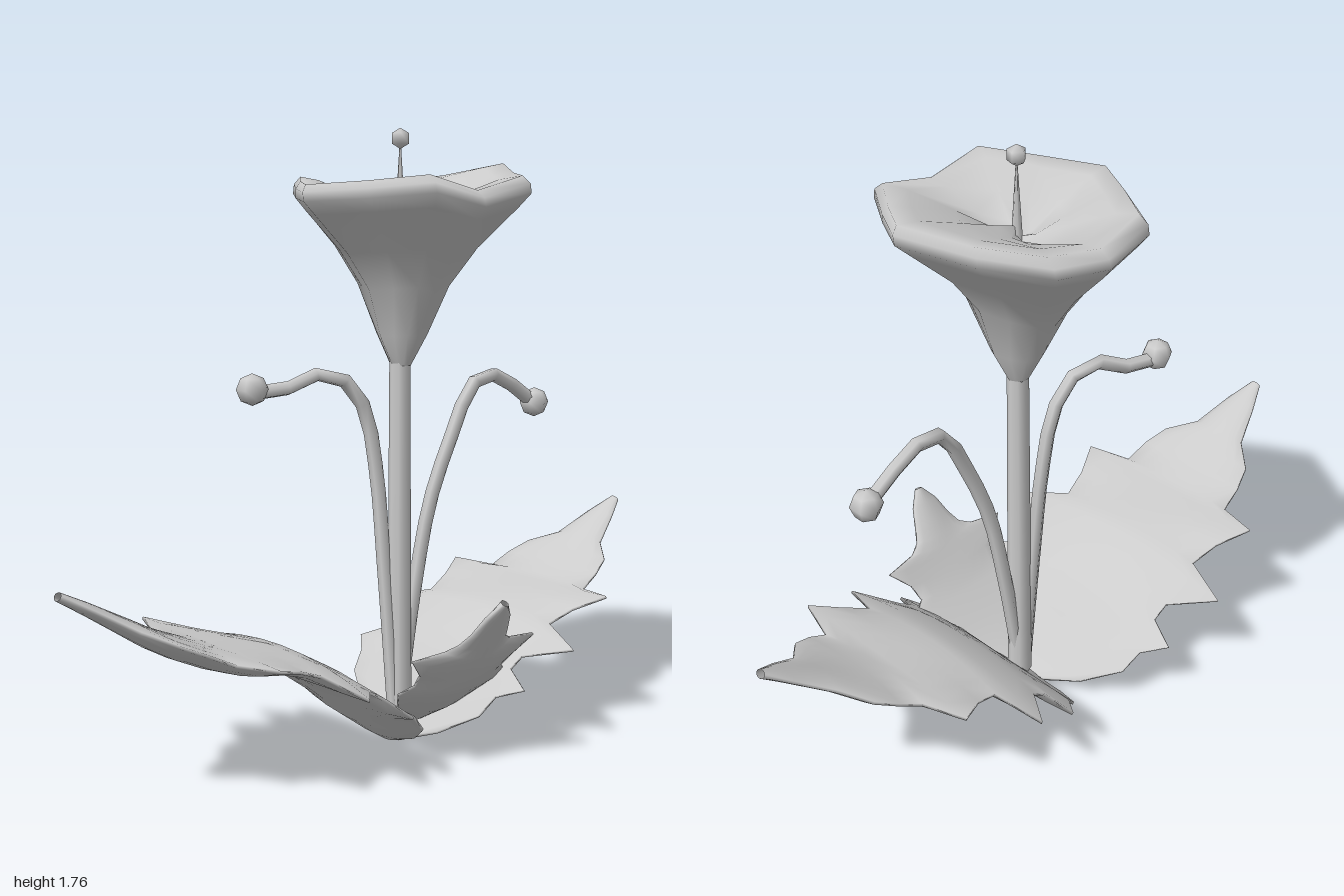
import * as THREE from 'three';

const material = new THREE.MeshStandardMaterial({ color: 0xcccccc, side: THREE.DoubleSide });
const V = (x, y, z) => new THREE.Vector3(x, y, z);

function part(name, geometry) {
  const mesh = new THREE.Mesh(geometry, material);
  mesh.name = name;
  return mesh;
}

// Skin a surface over closed rows of points
function skin(rows) {
  const n = rows[0].length, index = [];
  for (let i = 0; i < rows.length - 1; i++) {
    for (let j = 0; j < n; j++) {
      const k = (j + 1) % n;
      const a = i * n + j, b = i * n + k, c = (i + 1) * n + j, d = (i + 1) * n + k;
      index.push(a, b, c, b, d, c);
    }
  }
  const geometry = new THREE.BufferGeometry().setFromPoints(rows.flat());
  geometry.setIndex(index);
  geometry.computeVertexNormals();
  return geometry;
}

// Fleshy toothed leaf: spine is [out, up],
// outline is [position along spine, half width, rise of the edge]
function leaf(name, spine, outline, plump) {
  const curve = new THREE.CatmullRomCurve3(spine.map(([o, u]) => V(0, u, o)));
  const across = [-1, -0.75, -0.5, -0.25, 0, 0.25, 0.5, 0.75, 1];
  const rows = outline.map(([t, w, rise]) => {
    const p = curve.getPointAt(t), d = curve.getTangentAt(t);
    const half = 0.008 + plump * Math.sin(Math.PI * t);
    const side = (sign) => across.map((s) => {
      const thick = sign * (0.004 + half * (1 - s * s));
      return V(s * w, p.y + rise * s * s + d.z * thick, p.z - d.y * thick);
    });
    return [...side(1), ...side(-1).reverse()];
  });
  return part(name, skin(rows));
}

// Trumpet bloom: the six-cornered rim scaled down towards the stem and back into the throat
function bloom(cx, cz) {
  const rim = [ // x, z, y
    [-0.03, 0.24, 1.605], [0.14, 0.15, 1.615], [0.295, 0.05, 1.63], [0.3, -0.12, 1.59],
    [0.29, -0.3, 1.63], [0.14, -0.4, 1.64], [-0.02, -0.5, 1.67], [-0.2, -0.4, 1.635],
    [-0.36, -0.3, 1.625], [-0.37, -0.12, 1.59], [-0.36, 0.03, 1.63], [-0.2, 0.14, 1.615],
  ];
  const profile = [ // scale in x, scale in z, height share
    [0.09, 0.08, 0], [0.22, 0.21, 0.17], [0.42, 0.33, 0.43], [0.63, 0.55, 0.63],
    [0.92, 0.88, 0.84], [1, 0.99, 0.91], [0.98, 1, 0.96], [0.9, 0.97, 1],
    [0.72, 0.8, 0.98], [0.42, 0.45, 0.89], [0.15, 0.15, 0.81], [0.01, 0.01, 0.78],
  ];
  const rows = profile.map(([fx, fz, h]) =>
    rim.map(([x, z, y]) => V(cx + (x - cx) * fx, 1.1 + (y - 1.1) * h, cz + (z - cz) * fz)));
  return part('bloom', skin(rows));
}

// Curved stalk with a round bud at its end
function budStalk(name, points, budAt) {
  const group = new THREE.Group();
  group.name = name;
  const curve = new THREE.CatmullRomCurve3(points.map((p) => V(...p)));
  const bud = part('bud', new THREE.SphereGeometry(0.045, 6, 4));
  bud.position.set(...budAt);
  group.add(part('stalk', new THREE.TubeGeometry(curve, 14, 0.021, 6)), bud);
  return group;
}

export function createModel() {
  const model = new THREE.Group();
  const cx = -0.03, cz = -0.1;

  // Main stem, bloom and pistil
  const stem = part('stem', new THREE.CylinderGeometry(0.03, 0.036, 1.04, 8));
  stem.position.set(cx, 0.6, cz);
  const pistil = part('pistil', new THREE.CylinderGeometry(0.002, 0.016, 0.22, 6));
  pistil.position.set(cx, 1.61, cz);
  const pistilTip = part('pistilTip', new THREE.SphereGeometry(0.029, 5, 3));
  pistilTip.position.set(cx, 1.733, cz);
  model.add(stem, bloom(cx, cz), pistil, pistilTip);

  // Drooping buds
  model.add(
    budStalk('frontBud', [
      [-0.03, 0.09, -0.08], [-0.05, 0.5, -0.06], [-0.07, 0.8, -0.045], [-0.08, 0.98, -0.01],
      [-0.09, 1.06, 0.05], [-0.11, 1.085, 0.12], [-0.14, 1.05, 0.2], [-0.16, 1.04, 0.3],
    ], [-0.16, 1.05, 0.32]),
    budStalk('backBud', [
      [-0.03, 0.1, -0.1], [-0.03, 0.45, -0.16], [-0.02, 0.7, -0.21], [-0.01, 0.9, -0.29],
      [-0.015, 1.02, -0.36], [-0.025, 1.05, -0.44], [-0.03, 1.03, -0.51], [-0.03, 0.96, -0.62],
    ], [-0.03, 0.95, -0.64]),
  );

  // Long front and back leaves
  const longSpine = [[0, 0.015], [0.08, 0.075], [0.22, 0.215], [0.36, 0.315], [0.5, 0.355],
    [0.65, 0.385], [0.8, 0.455], [0.92, 0.53], [1.05, 0.605]];
  const longOutline = [
    [0, 0.04, 0], [0.04, 0.17, 0.02], [0.11, 0.28, 0.03], [0.17, 0.3, 0.03], [0.235, 0.365, 0],
    [0.27, 0.28, 0.01], [0.32, 0.28, 0], [0.41, 0.4, -0.025], [0.45, 0.26, 0], [0.52, 0.28, 0.015],
    [0.6, 0.33, 0.03], [0.635, 0.2, 0.01], [0.7, 0.19, 0.015], [0.765, 0.165, 0.01],
    [0.83, 0.09, 0], [0.93, 0.05, 0], [1, 0.015, 0],
  ];
  const frontLeaf = leaf('frontLeaf', longSpine, longOutline, 0.022);
  frontLeaf.position.set(-0.025, 0, -0.05);
  const backLeaf = leaf('backLeaf', longSpine.map(([o, u]) => [o * 0.905, u]), longOutline, 0.022);
  backLeaf.rotation.y = Math.PI;
  backLeaf.position.set(-0.015, 0, -0.05);

  // Short leaf on the left
  const leftLeaf = leaf('leftLeaf',
    [[0, 0.06], [0.14, 0.14], [0.26, 0.25], [0.34, 0.36], [0.43, 0.5]],
    [[0, 0.03, 0], [0.12, 0.08, 0.01], [0.28, 0.14, 0.02], [0.44, 0.2, 0.02], [0.49, 0.16, 0.02],
      [0.57, 0.17, 0.02], [0.66, 0.225, 0.03], [0.7, 0.12, 0.02], [0.75, 0.085, 0.01],
      [0.83, 0.065, 0], [0.92, 0.045, 0], [1, 0.01, 0]],
    0.01);
  leftLeaf.rotation.y = Math.PI / 2;
  leftLeaf.position.z = -0.08;
  model.add(frontLeaf, backLeaf, leftLeaf);
  return model;
}
